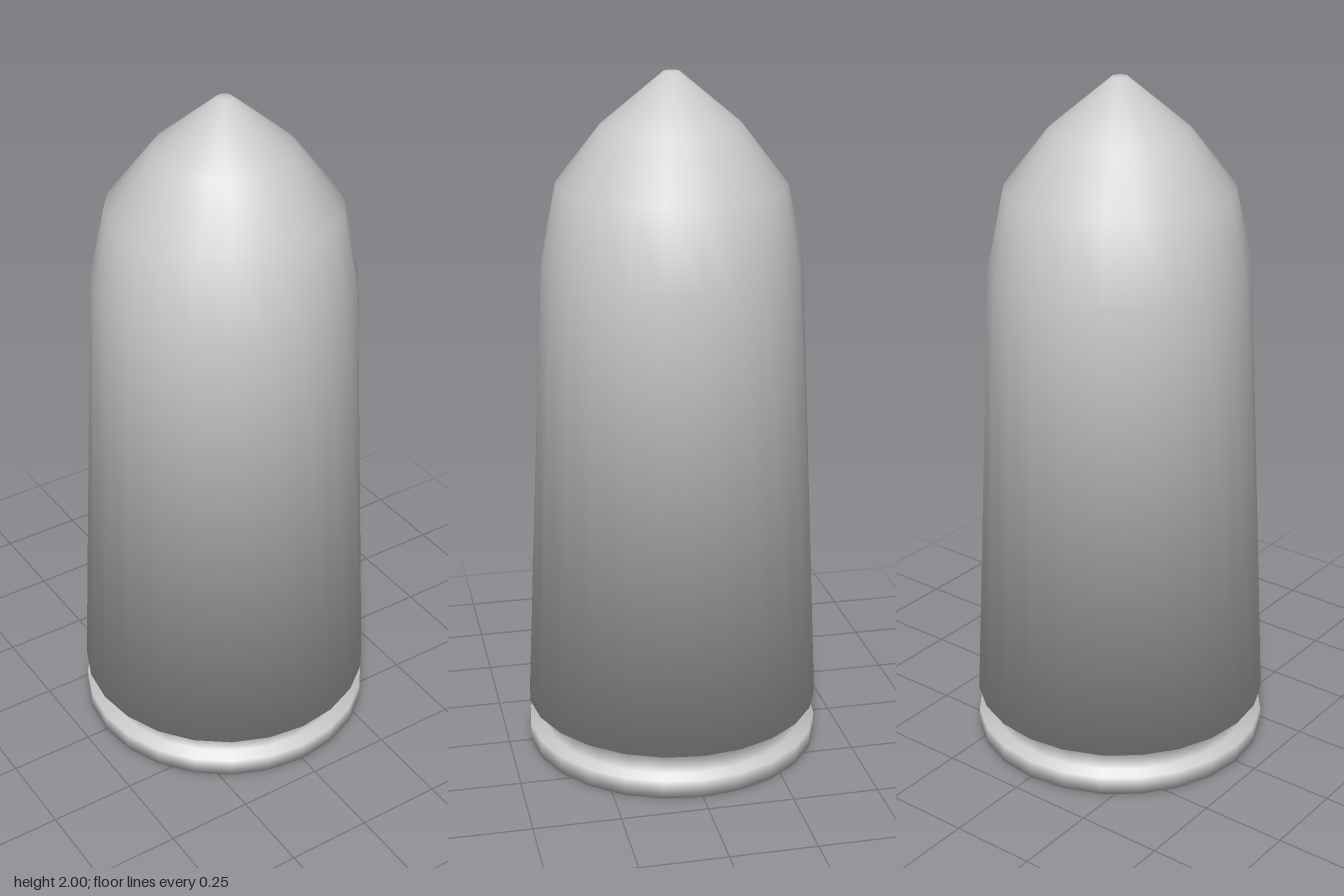
import * as THREE from 'three';

const SIDES = 24;

// Outline from the centre of the base up to the tip: [radius, height]
const profile = [
  [0, 0], [0.434, 0], [0.434, 0.055], [0.39, 0.055], [0.39, 0.132], [0.434, 0.132],
  [0.37, 1.47], [0.325, 1.69], [0.197, 1.855], [0.022, 2], [0, 2],
].map(([r, y]) => new THREE.Vector2(r, y));

// Unit outward normal of each outline segment
const segmentNormals = profile.slice(1).map((p, i) =>
  new THREE.Vector2(p.y - profile[i].y, profile[i].x - p.x).normalize());

// Smooth normal at each outline point: the mean of its two segments
const pointNormals = profile.map((_, i) => {
  if (i === 0) return new THREE.Vector2(0, -1);
  if (i === profile.length - 1) return new THREE.Vector2(0, 1);
  return segmentNormals[i - 1].clone().add(segmentNormals[i]).normalize();
});

// Turn one stretch of the outline, keeping the shading continuous between parts
function turnedPart(name, first, last, material) {
  const points = profile.slice(first, last + 1);
  const geometry = new THREE.LatheGeometry(points, SIDES);
  const normals = geometry.attributes.normal;
  for (let s = 0; s <= SIDES; s++) {
    const angle = (s / SIDES) * Math.PI * 2;
    for (let j = 0; j < points.length; j++) {
      const n = pointNormals[first + j];
      normals.setXYZ(s * points.length + j, n.x * Math.sin(angle), n.y, n.x * Math.cos(angle));
    }
  }
  const mesh = new THREE.Mesh(geometry, material);
  mesh.name = name;
  return mesh;
}

export function createModel() {
  const group = new THREE.Group();
  group.name = 'cartridge';
  const material = new THREE.MeshStandardMaterial({ color: 0xcccccc });
  group.add(
    turnedPart('baseRim', 0, 3, material),
    turnedPart('extractorGroove', 3, 5, material),
    turnedPart('taperedCase', 5, 6, material),
    turnedPart('pointedNose', 6, 10, material),
  );
  return group;
}
